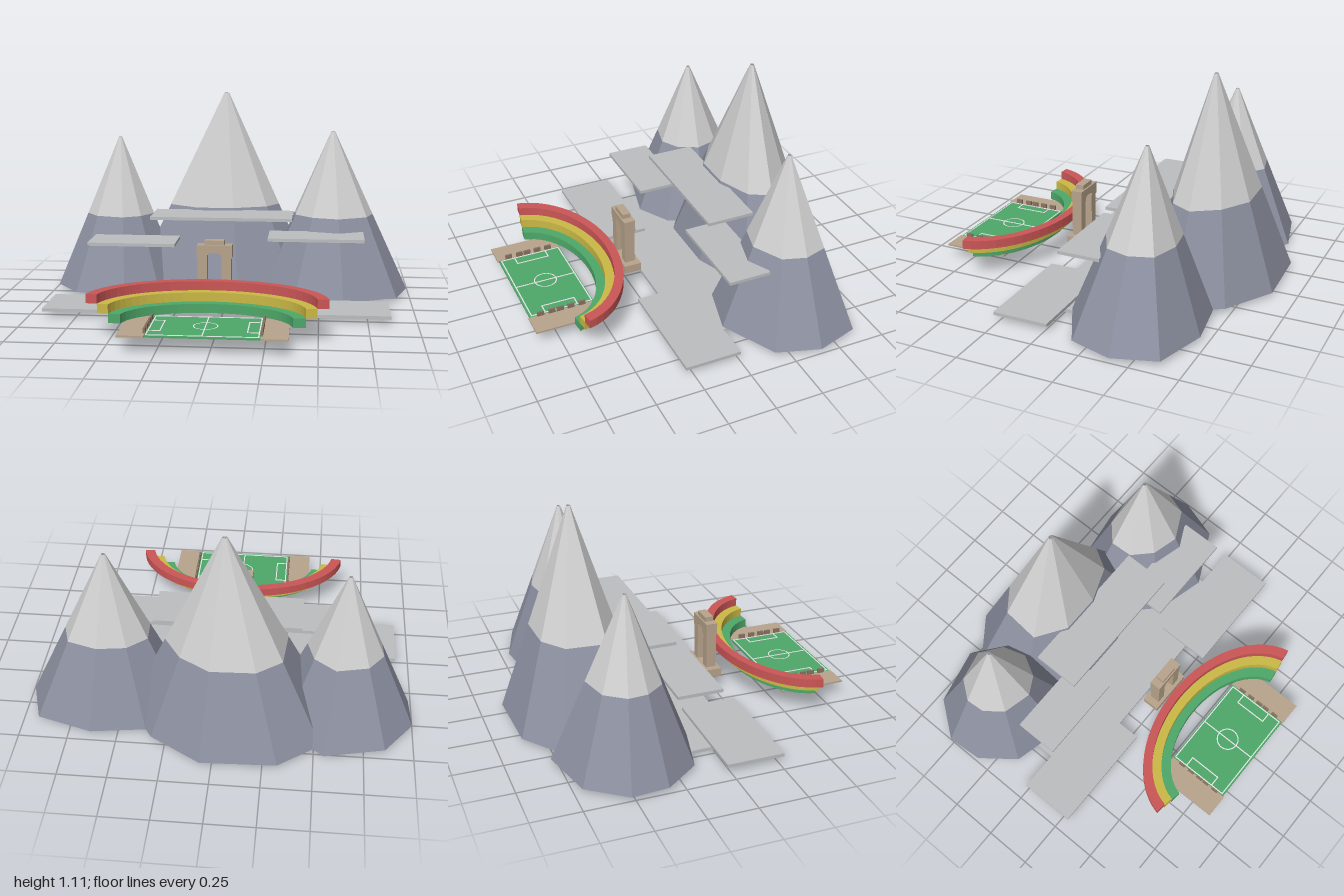
import * as THREE from 'three';

const mat = (name, color, extra = {}) => new THREE.MeshStandardMaterial({ name, color, ...extra });
const faceted = { flatShading: true, side: THREE.DoubleSide };

export function createModel() {
  const root = new THREE.Group();
  root.name = 'mountainStadium';
  const M = {
    rock: mat('slate rock', 0x8c90a0, faceted),
    snow: mat('pale peak', 0xcfcfcf, faceted),
    slab: mat('grey slab', 0xbcbec0),
    stone: mat('tan stone', 0xb8a48c),
    seat: mat('brown seating', 0x8a7462),
    red: mat('red tier', 0xcb5656),
    yellow: mat('yellow tier', 0xcbb946),
    green: mat('pitch green', 0x4ea869),
    white: mat('white line', 0xf0f0f0),
  };

  const add = (parent, name, geo, material) => {
    const m = new THREE.Mesh(geo, material);
    m.name = name;
    parent.add(m);
    return m;
  };
  const group = (name) => {
    const g = new THREE.Group();
    g.name = name;
    root.add(g);
    return g;
  };
  // Box given by its limits on each axis
  const box = (parent, name, material, x0, x1, y0, y1, z0, z1) =>
    add(parent, name, new THREE.BoxGeometry(x1 - x0, y1 - y0, z1 - z0), material)
      .position.set((x0 + x1) / 2, (y0 + y1) / 2, (z0 + z1) / 2);

  // Open band of an irregular cone, between two fractions of the way down
  const coneBand = (outline, height, t0, t1) => {
    const pos = [];
    const at = (i, t) => {
      const [x, z] = outline[i % outline.length];
      return [x * t, -height * t, z * t];
    };
    outline.forEach((_, i) => {
      const a0 = at(i, t0), a1 = at(i + 1, t0), b0 = at(i, t1), b1 = at(i + 1, t1);
      pos.push(...a0, ...b1, ...b0, ...a0, ...a1, ...b1);
    });
    const g = new THREE.BufferGeometry();
    g.setAttribute('position', new THREE.Float32BufferAttribute(pos, 3));
    g.computeVertexNormals();
    return g;
  };

  // Mountains: apex, snow line and base outline around the apex
  const mountains = [
    ['centreMountain', [-0.035, 1.14, -0.507], 0.48,
      [[0.51, 0.02], [0.4, 0.21], [0.09, 0.33], [-0.26, 0.33], [-0.53, 0.15],
        [-0.5, -0.2], [-0.288, -0.358], [0.095, -0.373], [0.358, -0.213]]],
    ['rightMountain', [-0.633, 0.885, -0.42], 0.43,
      [[0.36, 0.03], [0.25, 0.24], [0.07, 0.34], [-0.214, 0.27], [-0.352, 0.09],
        [-0.367, -0.1], [-0.224, -0.29], [0.08, -0.36], [0.29, -0.2]]],
    ['leftMountain', [0.567, 0.93, -0.4], 0.445,
      [[0.425, 0], [0.355, 0.224], [0.065, 0.37], [-0.2, 0.3], [-0.38, 0.12],
        [-0.39, -0.11], [-0.21, -0.27], [0.07, -0.31], [0.355, -0.225]]],
  ];
  for (const [name, apex, snowY, outline] of mountains) {
    const g = group(name);
    g.position.set(...apex);
    const h = apex[1] - 0.02;
    const t = (apex[1] - snowY) / h;
    add(g, 'peak', coneBand(outline, h, 0.025, t), M.snow);
    add(g, 'rockBase', coneBand(outline, h, t, 1), M.rock);
  }

  // Floating terraces: x0, x1, y0, z0, z1
  const terraces = group('terraces');
  [
    [-0.415, 0.352, 0.449, -0.335, -0.08],
    [-0.738, -0.267, 0.325, -0.195, 0.038],
    [0.225, 0.737, 0.355, -0.23, -0.008],
    [-0.93, -0.333, 0.024, -0.015, 0.283],
    [0.268, 0.866, 0.024, -0.012, 0.283],
    [-0.718, 0.65, 0, -0.22, 0.155],
  ].forEach(([x0, x1, y, z0, z1]) => box(terraces, 'terrace', M.slab, x0, x1, y, y + 0.017, z0, z1));

  // Stone gateway
  const cx = -0.033;
  const gate = group('gateway');
  box(gate, 'plinth', M.stone, cx - 0.123, cx + 0.123, 0.085, 0.13, 0.19, 0.283);
  for (const s of [-1, 1]) {
    const x = cx + s * 0.062;
    box(gate, 'pillar', M.stone, x - 0.024, x + 0.024, 0.13, 0.33, 0.21, 0.265);
  }
  // Lintel with an arched underside
  const lintel = new THREE.Shape();
  lintel.moveTo(-0.09, 0.32);
  lintel.lineTo(-0.038, 0.32);
  [[-0.038, 0.335], [-0.022, 0.345], [0.022, 0.345], [0.038, 0.335], [0.038, 0.32],
    [0.09, 0.32], [0.09, 0.385], [-0.09, 0.385]].forEach(([x, y]) => lintel.lineTo(x, y));
  add(gate, 'lintel', new THREE.ExtrudeGeometry(lintel, { depth: 0.062, bevelEnabled: false }), M.stone)
    .position.set(cx, 0, 0.206);
  box(gate, 'cap', M.stone, cx - 0.05, cx + 0.05, 0.385, 0.41, 0.215, 0.26);

  // Curved tiers: elliptical bands rising outwards
  const tiers = group('tiers');
  const rx = [0.589, 0.533, 0.478, 0.418];
  const rz = [0.405, 0.36, 0.312, 0.265];
  ['red', 'yellow', 'green'].forEach((colour, k) => {
    const pts = [];
    const steps = 28, tilt = 0.14;
    for (const [ring, dir] of [[k, 1], [k + 1, -1]]) {
      for (let i = 0; i <= steps; i++) {
        const f = dir > 0 ? i / steps : 1 - i / steps;
        const a = tilt + f * (Math.PI - 2 * tilt);
        pts.push(new THREE.Vector2(Math.cos(a) * rx[ring], Math.sin(a) * rz[ring]));
      }
    }
    const geo = new THREE.ExtrudeGeometry(new THREE.Shape(pts), { depth: 0.046, bevelEnabled: false });
    geo.rotateX(-Math.PI / 2);
    add(tiers, colour + 'Tier', geo, M[colour]).position.set(cx, 0.174 - k * 0.046, 0.71);
  });

  // Pitch with side aprons and low seating blocks
  const pitch = group('pitch');
  box(pitch, 'grass', M.green, -0.302, 0.237, 0.074, 0.083, 0.52, 0.865);
  for (const s of [-1, 1]) {
    const inner = cx + s * 0.27, outer = cx + s * 0.398;
    box(pitch, 'apron', M.stone, Math.min(inner, outer), Math.max(inner, outer), 0.074, 0.083, 0.52, 0.872);
    const x = cx + s * 0.274;
    for (const z of [0.585, 0.645, 0.703, 0.747, 0.808]) {
      box(pitch, 'seatBlock', M.seat, x - 0.005, x + 0.005, 0.083, 0.107, z - 0.018, z + 0.018);
    }
  }

  // Painted markings
  const line = (x0, x1, z0, z1) => box(pitch, 'marking', M.white, x0, x1, 0.083, 0.0855, z0, z1);
  const w = 0.006, L = cx - 0.264, R = cx + 0.264, near = 0.856, far = 0.525;
  line(L, R, far, far + w);
  line(L, R, near - w, near);
  line(cx - w / 2, cx + w / 2, far, near);
  for (const s of [-1, 1]) {
    const e = cx + s * 0.261, b = cx + s * 0.205;
    line(e - w / 2, e + w / 2, far, near);
    line(b - w / 2, b + w / 2, 0.602, 0.782);
    for (const z of [0.602, 0.776]) line(Math.min(e, b), Math.max(e, b), z, z + w);
  }
  const circle = add(pitch, 'centreCircle', new THREE.RingGeometry(0.055, 0.061, 32), M.white);
  circle.rotation.x = -Math.PI / 2;
  circle.position.set(cx, 0.0858, 0.69);

  return root;
}
